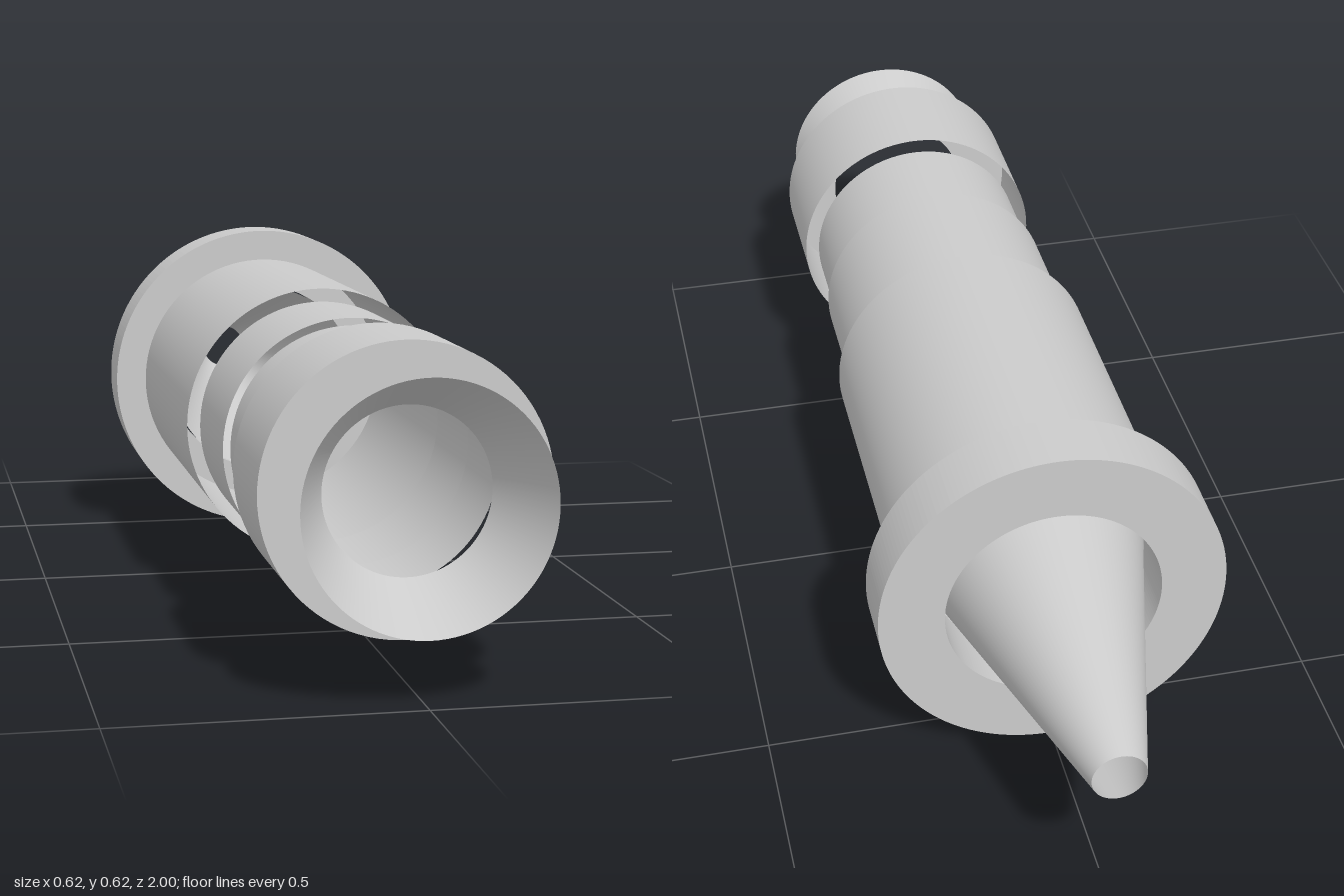
import * as THREE from 'three';

const AXIS_Y = 0.308;
const SEGMENTS = 96;

export function createModel() {
  const group = new THREE.Group();
  const material = new THREE.MeshStandardMaterial({ color: 0xcccccc, side: THREE.DoubleSide });

  // Revolves a list of [radius, z] points around the long axis.
  function revolve(name, profile) {
    const points = profile.map(([r, z]) => new THREE.Vector2(r, -z));
    const geometry = new THREE.LatheGeometry(points, SEGMENTS);
    geometry.rotateX(-Math.PI / 2);
    const mesh = new THREE.Mesh(geometry, material);
    mesh.name = name;
    mesh.position.y = AXIS_Y;
    group.add(mesh);
  }

  // Open thin-walled sleeves, stepping down towards the front
  revolve('mainSleeve', [[0.248, -0.465], [0.248, 0.152]]);
  revolve('middleSleeve', [[0.224, 0.152], [0.224, 0.42]]);
  revolve('frontSleeve', [[0.211, 0.42], [0.211, 0.615]]);

  // Front collar: open at the back, closed by a ring at the front
  revolve('collar', [[0.238, 0.615], [0.238, 0.845]]);
  revolve('collarFace', [[0.238, 0.845], [0.137, 0.845]]);
  revolve('flaredMouth', [[0.137, 0.845], [0.2, 1]]);

  // Thick flange ring with a hole around the rear cone
  const ring = new THREE.Shape().absarc(0, 0, 0.308, 0, Math.PI * 2);
  ring.holes.push(new THREE.Path().absarc(0, 0, 0.192, 0, Math.PI * 2, true));
  const flange = new THREE.Mesh(
    new THREE.ExtrudeGeometry(ring, { depth: 0.113, bevelEnabled: false, curveSegments: SEGMENTS }),
    material
  );
  flange.name = 'flange';
  flange.position.set(0, AXIS_Y, -0.578);
  group.add(flange);

  // Hollow tapered nozzle at the rear
  revolve('rearNozzle', [[0.19, -0.466], [0.046, -1]]);

  return group;
}
